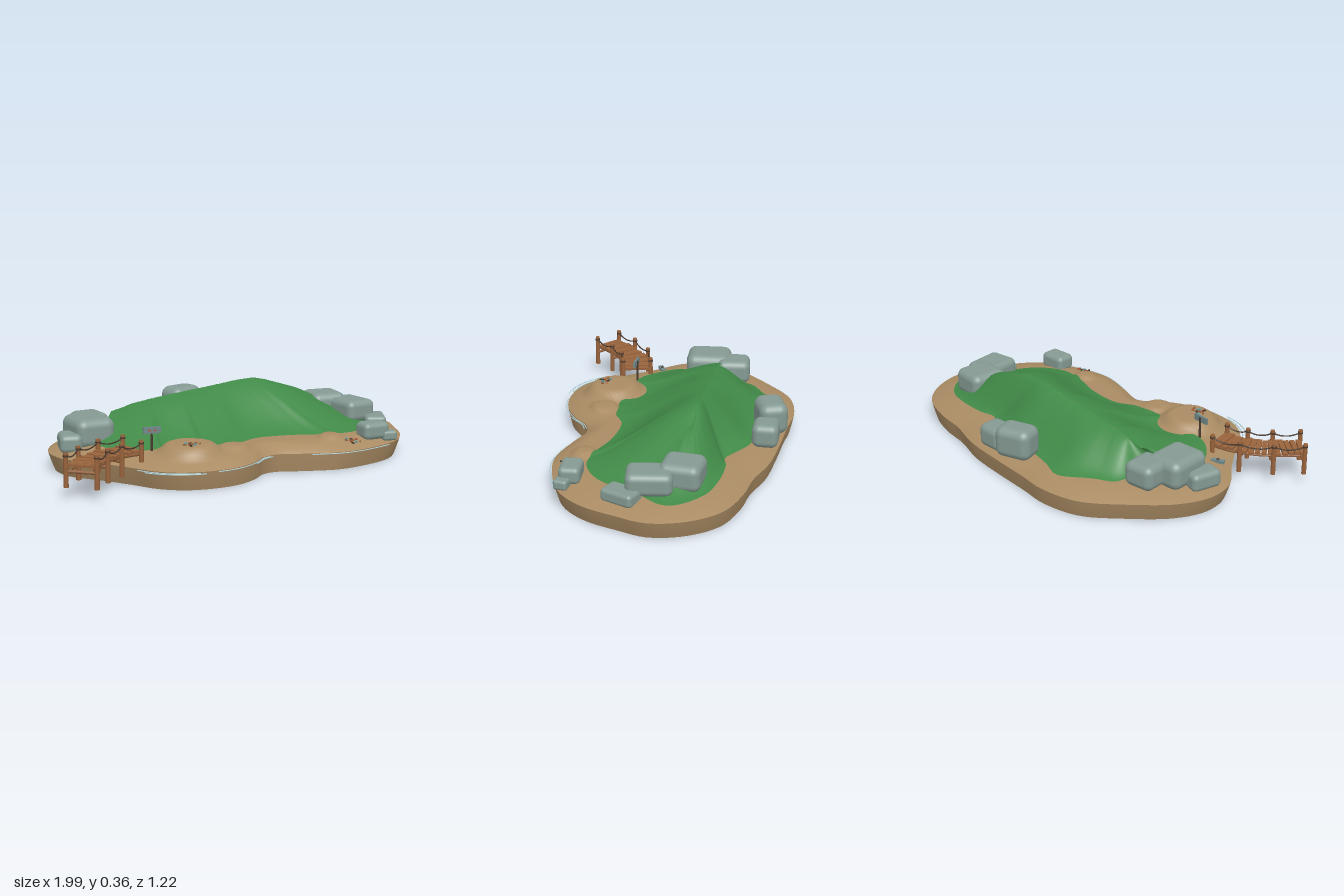
import * as THREE from 'three';
import { RoundedBoxGeometry } from 'three/addons/geometries/RoundedBoxGeometry.js';

const mat = (name, color, side = THREE.FrontSide) => {
  const m = new THREE.MeshStandardMaterial({ color, side });
  m.name = name;
  return m;
};
const V = (x, y, z) => new THREE.Vector3(x, y, z);
const CX = 0.05, CZ = -0.05;

// Shoreline and meadow edge as x, z pairs
const SHORE = [-0.3, -0.615, -0.5, -0.57, -0.67, -0.43, -0.83, -0.25, -0.89, -0.09, -0.865, 0.06, -0.75, 0.2, -0.64, 0.35,
  -0.56, 0.47, -0.45, 0.55, -0.3, 0.575, -0.16, 0.55, -0.05, 0.485, 0.03, 0.41, 0.11, 0.39, 0.24, 0.43, 0.43, 0.472,
  0.62, 0.435, 0.78, 0.36, 0.89, 0.23, 0.955, 0.06, 0.995, -0.09, 0.95, -0.265, 0.83, -0.41, 0.645, -0.48, 0.485, -0.505,
  0.3, -0.56, 0.08, -0.585, -0.13, -0.6];
const MEADOW = [-0.3, -0.52, -0.45, -0.425, -0.54, -0.36, -0.57, -0.18, -0.66, -0.05, -0.67, 0.08, -0.56, 0.215, -0.46, 0.245,
  -0.4, 0.19, -0.32, 0.17, -0.235, 0.205, -0.185, 0.275, -0.1, 0.27, -0.02, 0.265, 0.08, 0.215, 0.27, 0.225, 0.4, 0.265,
  0.54, 0.285, 0.645, 0.245, 0.725, 0.165, 0.8, 0, 0.875, -0.13, 0.86, -0.21, 0.75, -0.32, 0.62, -0.36, 0.46, -0.37,
  0.38, -0.355, 0.3, -0.4, 0.19, -0.455, -0.02, -0.46, -0.18, -0.49];

function closedLoop(flat, n) {
  const pts = [];
  for (let i = 0; i < flat.length; i += 2) pts.unshift(V(flat[i], 0, flat[i + 1]));
  return new THREE.CatmullRomCurve3(pts, true).getPoints(n).slice(0, n);
}

// Shore radius by angle around the island centre
const polar = closedLoop(SHORE, 400)
  .map(p => [Math.atan2(p.z - CZ, p.x - CX), Math.hypot(p.x - CX, p.z - CZ)])
  .sort((a, b) => a[0] - b[0]);
function shoreRadius(angle) {
  const a = Math.atan2(Math.sin(angle), Math.cos(angle));
  let i = polar.findIndex(p => p[0] > a);
  if (i <= 0) return polar[i < 0 ? polar.length - 1 : 0][1];
  const [a0, r0] = polar[i - 1], [a1, r1] = polar[i];
  return r0 + (r1 - r0) * (a - a0) / (a1 - a0);
}
const shorePoint = (angle, s, y) => {
  const r = shoreRadius(angle) * s;
  return V(CX + Math.cos(angle) * r, y, CZ + Math.sin(angle) * r);
};

// Beach height, with three low round mounds: x, z, radius, height
const MOUNDS = [[-0.33, 0.345, 0.17, 0.045], [-0.1, 0.345, 0.085, 0.018], [0.435, 0.325, 0.068, 0.018]];
function sandY(x, z) {
  const s = Math.hypot(x - CX, z - CZ) / shoreRadius(Math.atan2(z - CZ, x - CX));
  const u = THREE.MathUtils.clamp((1 - s) / 0.28, 0, 1);
  let y = 0.09 + 0.045 * (1 - (1 - u) ** 2);
  for (const [mx, mz, r, h] of MOUNDS)
    y += h * (1 - THREE.MathUtils.smoothstep(Math.hypot(x - mx, z - mz), r * 0.6, r));
  return y;
}

// Hill height along the ridge
const RIDGE = [[-0.7, 0.2], [-0.5, 0.248], [-0.4, 0.275], [-0.2, 0.305], [0, 0.33], [0.2, 0.355], [0.3, 0.35], [0.45, 0.3]];
const ridgeCurve = new THREE.SplineCurve(RIDGE.map(p => new THREE.Vector2(...p))).getPoints(100);
function ridgeY(x) {
  const i = ridgeCurve.findIndex(p => p.x >= x);
  return ridgeCurve[i < 0 ? 100 : i].y;
}

// Skin a stack of closed rings with equal point counts
function loft(rings) {
  const n = rings[0].length, pos = [], idx = [];
  rings.forEach(r => r.forEach(p => pos.push(p.x, p.y, p.z)));
  for (let i = 0; i < rings.length - 1; i++) for (let j = 0; j < n; j++) {
    const k = (j + 1) % n, a = i * n + j, b = i * n + k;
    idx.push(a, a + n, b, b, a + n, b + n);
  }
  const g = new THREE.BufferGeometry();
  g.setAttribute('position', new THREE.Float32BufferAttribute(pos, 3));
  g.setIndex(idx);
  g.computeVertexNormals();
  return g;
}

export function createModel() {
  const root = new THREE.Group();
  root.name = 'island';
  const sand = mat('sand', 0xaa8c64), grass = mat('grass', 0x418a48), stone = mat('stone', 0x859a93);
  const wood = mat('wood', 0x98633c), rope = mat('rope', 0x4a3a2e), foam = mat('foam', 0xb9dde2);
  const slate = mat('slate', 0x71888a), red = mat('red', 0xb2543a), teal = mat('teal', 0x5c9fa6);
  const add = (name, geo, m, parent = root, p = [0, 0, 0], ry = 0) => {
    const mesh = new THREE.Mesh(geo, m);
    mesh.name = name;
    mesh.position.set(...p);
    mesh.rotation.y = ry;
    parent.add(mesh);
    return mesh;
  };
  const group = name => {
    const g = new THREE.Group();
    g.name = name;
    root.add(g);
    return g;
  };

  // Sand base: underside, bank and beach
  const N = 180;
  const ring = (s, y) => Array.from({ length: N }, (_, i) => shorePoint(i / N * Math.PI * 2, s, y));
  add('underside', loft([ring(0, 0), ring(0.965, 0)]), sand);
  add('bank', loft([ring(0.965, 0), ring(0.978, 0.03), ring(0.99, 0.06), ring(1, 0.09)]), sand);
  const beach = [];
  for (let i = 0; i <= 44; i++) beach.push(ring(1 - i / 44, 0).map(p => p.setY(sandY(p.x, p.z))));
  add('beach', loft(beach), sand);

  // Grass hill rising from the meadow edge to a ridge
  const edge = closedLoop(MEADOW, 220), hill = [];
  for (let i = 0; i <= 20; i++) {
    const t = i / 20, f = 0.35 * t + 0.65 * t * t * (3 - 2 * t);
    hill.push(edge.map(e => {
      const rx = e.x * (e.x > 0 ? 0.48 : 0.78), y0 = sandY(e.x, e.z);
      const x = e.x + (rx - e.x) * t, z = e.z + (-0.2 - e.z) * t;
      return V(x, Math.max(y0 + (ridgeY(rx) - y0) * f, sandY(x, z)) + 0.005, z);
    }));
  }
  add('grassHill', loft(hill), grass);

  // Boulders: x, z, width, depth, bottom, top, turn
  const boulders = group('boulders');
  [[0.67, -0.2, 0.19, 0.2, 0.13, 0.262, -0.08], [0.755, -0.06, 0.17, 0.22, 0.13, 0.242, 0.15],
    [0.835, 0.055, 0.11, 0.17, 0.105, 0.17, -0.4], [0.668, 0.33, 0.145, 0.105, 0.11, 0.195, 0.06],
    [0.745, 0.355, 0.075, 0.07, 0.1, 0.15, -0.15], [-0.015, -0.525, 0.19, 0.145, 0.13, 0.288, 0.35],
    [0.14, -0.52, 0.15, 0.13, 0.12, 0.24, 0.02], [-0.63, -0.25, 0.16, 0.175, 0.12, 0.245, 0.12],
    [-0.68, -0.11, 0.2, 0.235, 0.11, 0.255, 0.08], [-0.795, -0.055, 0.11, 0.16, 0.1, 0.19, -0.2],
  ].forEach(([x, z, w, d, b, t, ry]) => {
    const h = t - b;
    add('boulder', new RoundedBoxGeometry(w, h, d, 4, Math.min(w, h, d) * 0.3), stone, boulders, [x, (b + t) / 2, z], ry);
  });

  // Curved boardwalk: planks, beams, posts and ropes
  const dock = group('boardwalk');
  const path = new THREE.CatmullRomCurve3([V(-0.93, 0, 0.51), V(-0.83, 0, 0.395), V(-0.72, 0, 0.312), V(-0.585, 0, 0.272)]);
  const beside = (t, off, y) => {
    const p = path.getPointAt(t), d = path.getTangentAt(t);
    return V(p.x - d.z * off, y, p.z + d.x * off);
  };
  const PLANKS = 15;
  for (let i = 0; i < PLANKS; i++) {
    const t = (i + 0.5) / PLANKS, d = path.getTangentAt(t), p = path.getPointAt(t);
    add('plank', new THREE.BoxGeometry(0.024, 0.013, 0.142 + 0.012 * Math.sin(i * 5)), wood, dock,
      [p.x, 0.158 + 0.002 * Math.sin(i * 3), p.z], -Math.atan2(d.z, d.x) + 0.05 * Math.sin(i * 7));
  }
  for (const side of [-1, 1]) {
    const beam = [0, 0.25, 0.5, 0.75, 1].map(t => beside(t, side * 0.05, 0.143));
    add('beam', new THREE.TubeGeometry(new THREE.CatmullRomCurve3(beam), 16, 0.009, 6), wood, dock);
    const tops = [0.01, 0.34, 0.67, 0.97].map(t => beside(t, side * 0.075, 0.2));
    tops.forEach((p, i) => {
      const low = i === 3 ? 0.11 : 0.055;
      add('post', new THREE.CylinderGeometry(0.011, 0.012, 0.215 - low, 10), wood, dock, [p.x, (0.215 + low) / 2, p.z]);
      add('ropeRing', new THREE.CylinderGeometry(0.013, 0.013, 0.008, 10), rope, dock, [p.x, 0.2, p.z]);
      if (!i) return;
      const mid = tops[i - 1].clone().lerp(p, 0.5).setY(0.165);
      add('rope', new THREE.TubeGeometry(new THREE.QuadraticBezierCurve3(tops[i - 1], mid, p), 10, 0.0035, 5), rope, dock);
    });
  }
  for (const t of [0.03, 0.34, 0.67]) {
    const cross = new THREE.LineCurve3(beside(t, -0.08, 0.128), beside(t, 0.08, 0.128));
    add('crossBeam', new THREE.TubeGeometry(cross, 1, 0.008, 6), wood, dock);
  }

  // Sign beside the beach
  const sign = group('sign');
  sign.position.set(-0.488, 0, 0.255);
  sign.rotation.y = -0.08;
  add('signPost', new THREE.CylinderGeometry(0.005, 0.006, 0.11, 8), rope, sign, [0, 0.19, -0.006]);
  add('signBoard', new THREE.BoxGeometry(0.088, 0.032, 0.01), slate, sign, [0, 0.236, 0]);
  for (const x of [-0.014, 0.012])
    add('signMark', new THREE.BoxGeometry(0.014, 0.008, 0.003), red, sign, [x, 0.236, 0.006]);

  // Fallen board by the boardwalk
  add('fallenBoard', new THREE.BoxGeometry(0.065, 0.014, 0.025), slate, root, [-0.7, sandY(-0.7, 0.155) + 0.007, 0.155], 0.45);
  add('boardKnob', new THREE.SphereGeometry(0.008, 10, 6), rope, root, [-0.7, sandY(-0.7, 0.155) + 0.015, 0.155]);

  // Beach finds scattered in two clusters
  const finds = group('beachFinds');
  [[-0.345, 0.39], [0.52, 0.388]].forEach(([cx, cz]) => {
    for (let i = 0; i < 9; i++) {
      const a = i * 2.4, r = 0.012 * Math.sqrt(i), x = cx + Math.cos(a) * r * 1.3, z = cz + Math.sin(a) * r * 0.8;
      add('find', new THREE.BoxGeometry(i % 3 ? 0.014 : 0.026, 0.007, 0.007), [wood, red, rope, teal][i % 4], finds,
        [x, sandY(x, z) + 0.003, z], i * 1.3);
    }
  });

  // Foam lines along the front shore: start, end in degrees, scale
  const ripples = group('foamLines');
  [[122, 142, 1.04], [124, 146, 1.015], [88, 118, 1.012], [87, 101, 1.04], [34, 66, 1.012]].forEach(([a, b, s]) => {
    const pts = [];
    for (let i = 0; i <= 16; i++) pts.push(shorePoint((a + (b - a) * i / 16) * Math.PI / 180, s, 0.086));
    const g = new THREE.TubeGeometry(new THREE.CatmullRomCurve3(pts), 32, 0.0025, 5);
    add('foamLine', g, foam, ripples);
  });
  return root;
}
